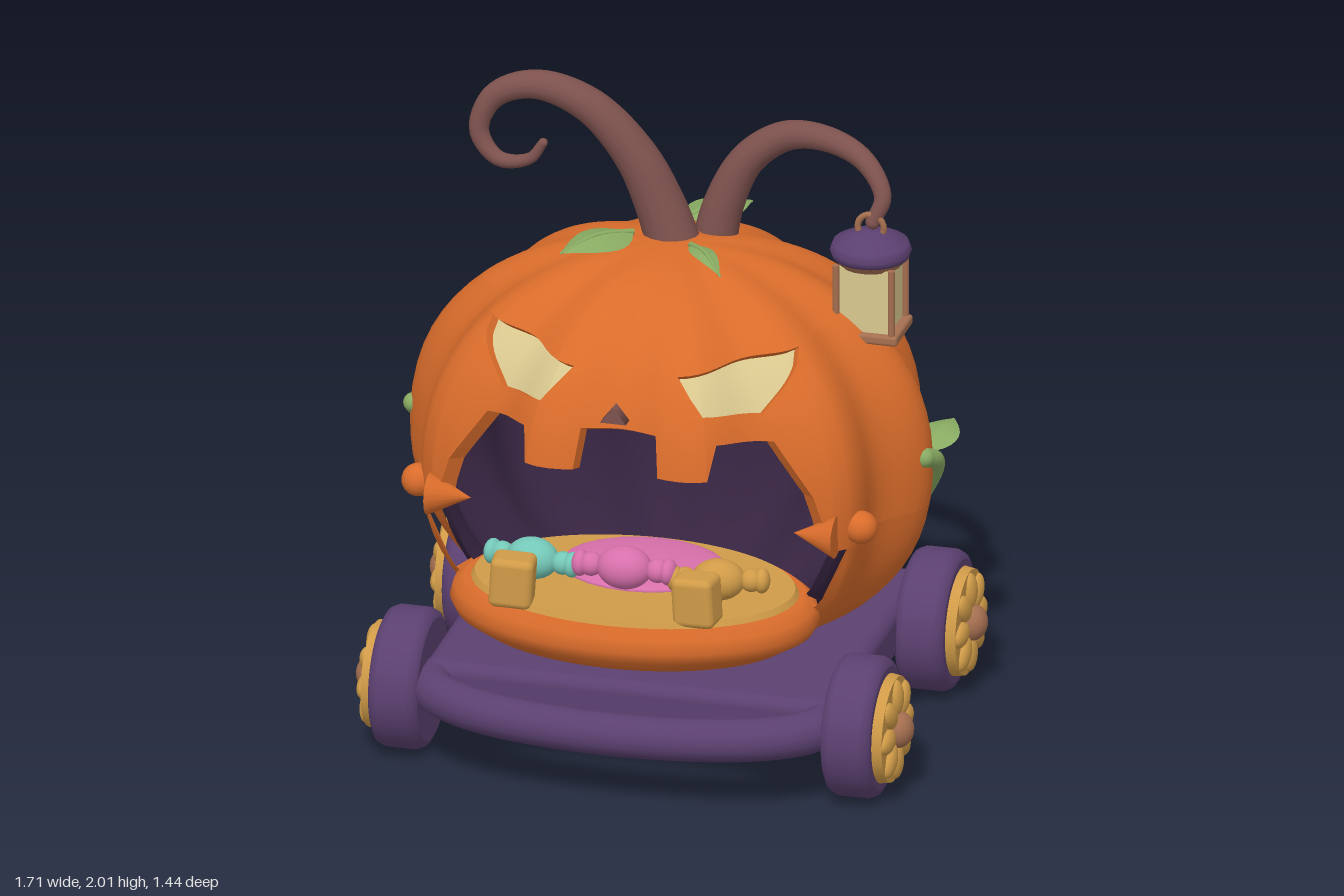
import * as THREE from 'three';
import { mergeVertices } from 'three/addons/utils/BufferGeometryUtils.js';
import { RoundedBoxGeometry } from 'three/addons/geometries/RoundedBoxGeometry.js';

const V = (x, y, z) => new THREE.Vector3(x, y, z);
const paint = (name, color, side = THREE.FrontSide) => {
  const m = new THREE.MeshStandardMaterial({ color, side });
  m.name = name;
  return m;
};

// Ribbed pumpkin surface: angle a (0 = front), phi from top to bottom, s shrinks it
const CY = 0.88, CZ = -0.05, N = 2.2;
const half = (up) => (up ? 0.65 : 0.63);
const phiOf = (y) => {
  const t = (y - CY) / half(y > CY);
  return Math.acos(Math.sign(t) * Math.pow(Math.abs(t), N / 2));
};
function surf(a, phi, s = 1) {
  const c = Math.cos(phi), t = Math.sign(c) * Math.pow(Math.abs(c), 2 / N);
  const r = Math.pow(Math.max(0, Math.sin(phi)), 2 / N) * (1 - 0.05 * (1 + Math.cos(10 * a)));
  return V(0.8 * s * r * Math.sin(a), CY + s * t * half(c > 0), CZ + 0.69 * s * r * Math.cos(a));
}
// Angle at which the surface reaches x at height y
function angleOf(x, y) {
  let lo = 0, hi = Math.PI / 2;
  for (let i = 0; i < 40; i++) {
    const m = (lo + hi) / 2;
    if (surf(m, phiOf(y)).x < x) lo = m; else hi = m;
  }
  return lo;
}
const toAngles = (pts) => pts.map(([x, y]) => [angleOf(x, y), y]);
function heightAt(line, a) {
  a = Math.abs(a);
  if (a <= line[0][0]) return line[0][1];
  for (let i = 1; i < line.length; i++) {
    const [a0, y0] = line[i - 1], [a1, y1] = line[i];
    if (a <= a1) return y0 + (y1 - y0) * (a - a0) / (a1 - a0);
  }
  return line[line.length - 1][1];
}

// Edges of the carved openings, as x, y on one half of the face
const mouthTop = toAngles([[0, 1.16], [0.115, 1.16], [0.13, 1.04], [0.28, 1.04], [0.295, 1.14], [0.44, 1.12], [0.56, 0.95], [0.605, 0.77]]);
const mouthLow = toAngles([[0, 0.52], [0.5, 0.52], [0.57, 0.6], [0.605, 0.77]]);
const eyeTop = toAngles([[0.16, 1.32], [0.47, 1.36]]);
const eyeLow = toAngles([[0.16, 1.32], [0.25, 1.22], [0.4, 1.2], [0.47, 1.36]]);
const keys = [...mouthTop, ...mouthLow, ...eyeTop, ...eyeLow].map((p) => p[0]).filter((a) => a > 0.001);
const steps = [0];
for (let d = 3; d <= 180; d += 3) {
  const a = d * Math.PI / 180;
  if (!keys.some((k) => Math.abs(k - a) < 0.012)) steps.push(a);
}
const right = [...new Set([...steps, ...keys])].sort((a, b) => a - b);
const columns = [...right.slice(1).map((a) => -a).reverse(), ...right];

// Grid through point(i, j), welded for smooth normals
function grid(nx, ny, point, smooth = true) {
  const pos = [], idx = [];
  for (let i = 0; i <= nx; i++) for (let j = 0; j <= ny; j++) pos.push(...point(i, j).toArray());
  for (let i = 0; i < nx; i++) for (let j = 0; j < ny; j++) {
    const a = i * (ny + 1) + j, r = a + ny + 1;
    idx.push(a, a + 1, r, r, a + 1, r + 1);
  }
  let g = new THREE.BufferGeometry();
  g.setAttribute('position', new THREE.Float32BufferAttribute(pos, 3));
  g.setIndex(idx);
  g = smooth ? mergeVertices(g, 1e-5) : g.toNonIndexed();
  g.computeVertexNormals();
  return g;
}
const band = (cols, ny, top, low, s) => grid(cols.length - 1, ny, (i, j) => {
  const a = cols[i], p0 = top(a), p1 = low(a);
  return surf(a, p0 + (p1 - p0) * j / ny, s);
});
const edge = (line) => (a) => phiOf(heightAt(line, a));

// Tube whose radius runs from r0 to r1
function taperTube(points, r0, r1, seg = 48) {
  const curve = new THREE.CatmullRomCurve3(points.map((p) => V(...p)));
  const g = new THREE.TubeGeometry(curve, seg, 1, 14), p = g.attributes.position, v = V();
  for (let i = 0; i < p.count; i++) {
    const u = Math.floor(i / 15) / seg, c = curve.getPointAt(u);
    v.fromBufferAttribute(p, i).sub(c).multiplyScalar(r0 + (r1 - r0) * u).add(c);
    p.setXYZ(i, v.x, v.y, v.z);
  }
  return g;
}
// Folded pointed leaf
function leafGeometry(base, tip, width) {
  const b = V(...base), t = V(...tip), side = t.clone().sub(b).cross(V(0, 1, 0)).normalize();
  return grid(10, 4, (i, j) => {
    const u = i / 10, v = j / 2 - 1, w = Math.sin(Math.PI * Math.pow(u, 0.8)) * width / 2;
    const p = b.clone().lerp(t, u).addScaledVector(side, v * w);
    p.y += 0.025 * Math.sin(Math.PI * u) - Math.abs(v) * w * 0.25;
    return p;
  }, false);
}

export function createModel() {
  const orange = paint('pumpkin orange', 0xd96c2b), dark = paint('dark hollow', 0x35233f, THREE.DoubleSide);
  const purple = paint('cart purple', 0x5b4070), gold = paint('gold', 0xd09b48);
  const stemBrown = paint('stem brown', 0x7e524e), copper = paint('copper', 0xa56f50);
  const cream = paint('glow cream', 0xdac88f), green = paint('leaf green', 0x88aa62, THREE.DoubleSide);
  const pink = paint('candy pink', 0xd870ac), teal = paint('candy teal', 0x74c8b8);
  const model = new THREE.Group();
  const add = (name, geo, mat, p = [0, 0, 0], s = [1, 1, 1], parent = model) => {
    const m = new THREE.Mesh(geo, mat);
    m.name = name;
    m.position.set(...p);
    m.scale.set(...s);
    parent.add(m);
    return m;
  };
  const ball = new THREE.SphereGeometry(1, 24, 16);

  // Pumpkin shell and hollow lining
  const pumpkin = new THREE.Group();
  pumpkin.name = 'pumpkin';
  model.add(pumpkin);
  const inner = 0.93;
  for (const [name, mat, s] of [['shell', orange, 1], ['lining', dark, inner]]) {
    const put = (part, g) => add(name + part, g, mat, [0, 0, 0], [1, 1, 1], pumpkin);
    put('Crown', band(columns, 14, () => 0, edge(eyeTop), s));
    put('Brow', band(columns, 10, edge(eyeLow), edge(mouthTop), s));
    put('Base', band(columns, 16, edge(mouthLow), () => Math.PI, s));
  }
  // Cut thickness around the openings and the glowing eyes
  const rind = orange.clone();
  rind.side = THREE.DoubleSide;
  const inMouth = columns.filter((a) => Math.abs(a) <= mouthTop[mouthTop.length - 1][0] + 1e-6);
  const wall = (cols, line) => add('cutEdge', grid(cols.length - 1, 1,
    (i, j) => surf(cols[i], edge(line)(cols[i]), j ? inner : 1), false), rind, [0, 0, 0], [1, 1, 1], pumpkin);
  wall(inMouth, mouthTop);
  wall(inMouth, mouthLow);
  for (const k of [-1, 1]) {
    const cols = columns.filter((a) => a * k >= eyeTop[0][0] - 1e-6 && a * k <= eyeTop[1][0] + 1e-6);
    wall(cols, eyeTop);
    wall(cols, eyeLow);
    add('eye', band(cols, 4, edge(eyeTop), edge(eyeLow), 0.965), cream, [0, 0, 0], [1, 1, 1], pumpkin);
  }
  const nose = add('nose', new THREE.CylinderGeometry(0.046, 0.046, 0.04, 3), stemBrown, [0, 1.228, 0.59], [1, 1, 0.75]);
  nose.rotation.x = -Math.PI / 2;

  // Jaw tray with its gold plate, tongue and teeth
  const lip = [[0, 0.4], [0.55, 0.412], [0.85, 0.45], [0.97, 0.49], [1, 0.525], [0.98, 0.565], [0.92, 0.59], [0, 0.592]];
  add('jaw', new THREE.LatheGeometry(lip.map((p) => new THREE.Vector2(...p)), 64), orange, [0, 0, 0.36], [0.56, 1, 0.37]);
  add('jawPlate', new THREE.CylinderGeometry(0.97, 1, 0.025, 64), gold, [0, 0.596, 0.36], [0.5, 1, 0.325]);
  add('tongue', ball, pink, [0, 0.61, 0.26], [0.25, 0.03, 0.2]);
  for (const [x, turn] of [[-0.31, 0.06], [0.255, -0.06]]) {
    const t = add('tooth', new RoundedBoxGeometry(0.13, 0.155, 0.105, 3, 0.022), gold, [x, 0.67, 0.6]);
    t.rotation.set(0, turn * 2, -turn);
  }

  // Wrapped candies
  const candy = (mat, x, y, z, r, turn) => {
    const g = new THREE.Group();
    g.name = 'candy';
    g.position.set(x, y, z);
    g.rotation.y = turn;
    model.add(g);
    add('sweet', ball, mat, [0, 0, 0], [r * 1.15, r * 0.9, r * 0.9], g);
    for (const k of [-1, 1]) {
      add('twist', ball, mat, [k * r * 1.4, 0, 0], [r * 0.5, r * 0.5, r * 0.5], g);
      add('wrapperEnd', ball, mat, [k * r * 1.85, 0, 0], [r * 0.36, r * 0.55, r * 0.55], g);
    }
  };
  candy(teal, -0.29, 0.68, 0.45, 0.07, -0.15);
  candy(pink, 0, 0.695, 0.48, 0.073, 0);
  candy(gold, 0.28, 0.675, 0.45, 0.07, 0.2);

  // Horn-like stems
  const horns = [
    [[[0, 1.46, -0.11], [-0.05, 1.6, -0.12], [-0.13, 1.76, -0.12], [-0.27, 1.91, -0.11], [-0.43, 1.963, -0.1], [-0.56, 1.91, -0.1],
      [-0.602, 1.8, -0.09], [-0.54, 1.72, -0.08], [-0.44, 1.735, -0.07], [-0.4, 1.79, -0.07]], 0.085, 0.014],
    [[[0.09, 1.46, -0.19], [0.12, 1.6, -0.2], [0.19, 1.745, -0.21], [0.31, 1.835, -0.21], [0.45, 1.85, -0.18], [0.57, 1.81, -0.14],
      [0.635, 1.72, -0.1], [0.61, 1.645, -0.08]], 0.068, 0.022]];
  for (const [pts, r0, r1] of horns) {
    add('stem', taperTube(pts, r0, r1, 64), stemBrown);
    add('stemTip', ball, stemBrown, pts[pts.length - 1], [r1, r1, r1]);
  }

  // Hanging lantern
  const lantern = new THREE.Group();
  lantern.name = 'lantern';
  lantern.position.set(0.605, 0, -0.075);
  model.add(lantern);
  const part = (name, geo, mat, p, s) => add(name, geo, mat, p, s, lantern);
  const cap = [[0.09, 1.535], [0.115, 1.54], [0.122, 1.56], [0.112, 1.585], [0.07, 1.605], [0.03, 1.62], [0, 1.622]];
  part('lanternCap', new THREE.LatheGeometry(cap.map((p) => new THREE.Vector2(...p)), 24), purple);
  part('capRim', new THREE.CylinderGeometry(0.115, 0.095, 0.025, 24), copper, [0, 1.53, 0]);
  part('glass', new THREE.BoxGeometry(0.155, 0.21, 0.155), cream, [0, 1.42, 0]);
  part('lanternBase', new RoundedBoxGeometry(0.21, 0.032, 0.19, 2, 0.01), copper, [0, 1.307, 0]);
  part('hangingRing', new THREE.TorusGeometry(0.04, 0.01, 8, 24), copper, [0, 1.63, 0]);
  for (const x of [-1, 1]) for (const z of [-1, 1])
    part('post', new THREE.CylinderGeometry(0.011, 0.011, 0.22, 8), copper, [x * 0.085, 1.42, z * 0.08]);

  // Leaves on the crown
  for (const [b, t, w] of [[[-0.12, 1.54, -0.06], [-0.3, 1.515, 0.1], 0.18],
    [[0, 1.54, -0.2], [0.16, 1.54, -0.37], 0.18], [[0.07, 1.54, -0.01], [0.2, 1.515, 0.14], 0.07]]) {
    add('crownLeaf', leafGeometry(b, t, w), green);
    add('leafRib', taperTube([b, [(b[0] + t[0]) / 2, (b[1] + t[1]) / 2 + 0.025, (b[2] + t[2]) / 2], t], 0.009, 0.004, 8), green);
  }

  // Vines, side leaves and cheek lumps
  for (const k of [-1, 1]) {
    const vine = [[-0.02, 0.93, 0.785], [-0.08, 0.9, 0.8], [-0.14, 0.83, 0.78], [-0.195, 0.74, 0.735], [-0.225, 0.65, 0.69], [-0.235, 0.58, 0.665]];
    add('vine', taperTube(vine.map(([z, y, x]) => [k * x, y, z]), 0.03, 0.02), green);
    add('vineEnd', ball, green, [k * 0.785, 0.93, -0.02], [0.03, 0.03, 0.03]);
    add('leafStalk', taperTube([[k * 0.66, 0.73, -0.33], [k * 0.69, 0.78, -0.36], [k * 0.7, 0.815, -0.4]], 0.012, 0.009, 12), green);
    add('sideLeaf', leafGeometry([k * 0.69, 0.8, -0.35], [k * 0.735, 0.835, -0.54], 0.14), green);
    add('cheekLump', ball, orange, [k * 0.68, 0.83, 0.31], [0.05, 0.05, 0.05]);
    const fang = add('cornerTooth', new THREE.ConeGeometry(0.065, 0.13, 16), orange, [k * 0.56, 0.825, 0.39]);
    fang.rotation.z = k * Math.PI / 2;
  }

  // Cart platform and bumper
  add('platform', new RoundedBoxGeometry(1.26, 0.16, 1.08, 3, 0.04), purple, [0, 0.23, -0.08]);
  add('bumper', taperTube([[-0.6, 0.24, 0.4], [-0.58, 0.24, 0.5], [-0.42, 0.235, 0.6], [0, 0.225, 0.645],
    [0.42, 0.235, 0.6], [0.58, 0.24, 0.5], [0.6, 0.24, 0.4]], 0.065, 0.065), purple);

  // Wheels with flower hubs
  const tyre = [[0, -0.075], [0.185, -0.075], [0.185, -0.075], [0.203, -0.066], [0.213, -0.045], [0.213, 0.045],
    [0.203, 0.066], [0.185, 0.075], [0.185, 0.075], [0, 0.075]].map((p) => new THREE.Vector2(...p));
  for (const k of [-1, 1]) for (const z of [0.36, -0.47]) {
    const wheel = new THREE.Group();
    wheel.name = 'wheel';
    wheel.position.set(k * 0.695, 0.213, z);
    wheel.rotation.z = -k * Math.PI / 2;
    model.add(wheel);
    add('tyre', new THREE.LatheGeometry(tyre, 48), purple, [0, 0, 0], [1, 1, 1], wheel);
    add('hubDisc', new THREE.CylinderGeometry(0.16, 0.165, 0.03, 40), gold, [0, 0.09, 0], [1, 1, 1], wheel);
    add('hubCap', ball, copper, [0, 0.115, 0], [0.055, 0.045, 0.055], wheel);
    for (let i = 0; i < 8; i++) {
      const a = i * Math.PI / 4;
      const petal = add('petal', ball, gold, [Math.cos(a) * 0.1, 0.105, Math.sin(a) * 0.1], [0.058, 0.024, 0.037], wheel);
      petal.rotation.y = -a;
    }
  }
  return model;
}
